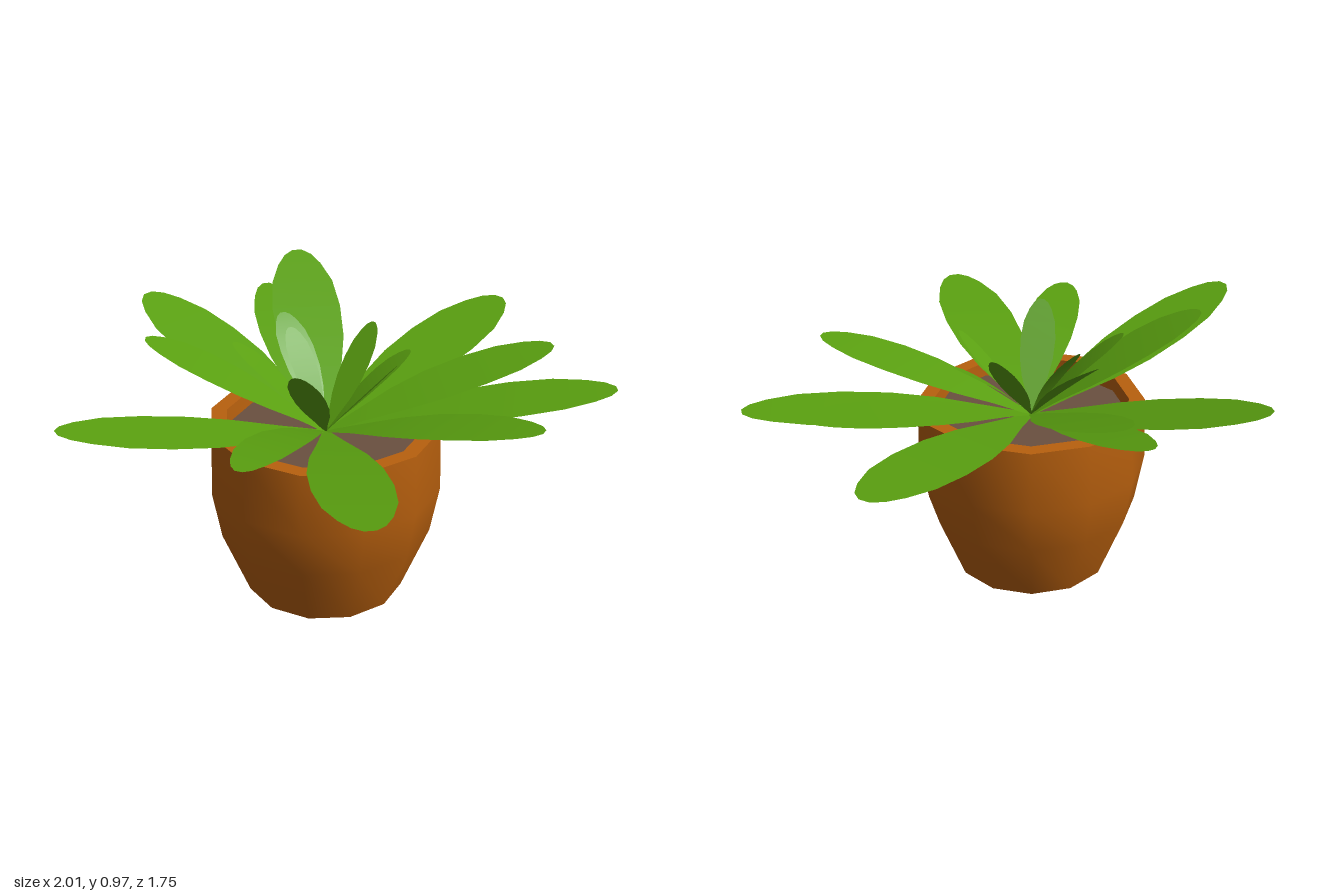
import * as THREE from 'three';
import { toCreasedNormals } from 'three/addons/utils/BufferGeometryUtils.js';

const CX = -0.07, CZ = 0.07; // pot axis
const BASE = new THREE.Vector3(-0.06, 0.61, 0.065); // where the leaves meet

// Outline of a leaf: [fraction of length, fraction of half width]
const OUTLINE = [[0, 0.08], [0.15, 0.36], [0.32, 0.74], [0.48, 0.95], [0.65, 1], [0.8, 0.9], [0.91, 0.64], [0.97, 0.4], [1, 0.14]];

// Flat leaf blade from the crown to its tip; bow lifts the middle
function leafGeometry(tip, width, bow) {
  const along = tip.clone().sub(BASE);
  const side = new THREE.Vector3(along.z, 0, -along.x).normalize();
  const pos = [], index = [];
  OUTLINE.forEach(([t, w], i) => {
    const mid = BASE.clone().addScaledVector(along, t);
    mid.y += bow * 4 * t * (1 - t);
    for (const s of [1, -1]) {
      const p = mid.clone().addScaledVector(side, s * w * width / 2);
      pos.push(p.x, p.y, p.z);
    }
    if (i) {
      const a = 2 * i - 2;
      index.push(a, a + 2, a + 1, a + 1, a + 2, a + 3);
    }
  });
  const g = new THREE.BufferGeometry();
  g.setAttribute('position', new THREE.Float32BufferAttribute(pos, 3));
  g.setIndex(index);
  g.computeVertexNormals();
  return g;
}

export function createModel() {
  const clay = new THREE.MeshStandardMaterial({ color: 0xb8600e });
  clay.name = 'terracotta';
  const earth = new THREE.MeshStandardMaterial({ color: 0x6a5040 });
  earth.name = 'soil';
  const green = new THREE.MeshStandardMaterial({ color: 0x5aa010, side: THREE.DoubleSide });
  green.name = 'leafGreen';

  const model = new THREE.Group();
  model.name = 'pottedPlant';

  // Twelve-sided pot with a thick rim
  const profile = [[0, 0], [0.29, 0], [0.39, 0.25], [0.423, 0.43], [0.417, 0.665], [0.36, 0.665], [0.355, 0.59]]
    .map(([r, y]) => new THREE.Vector2(r, y));
  const pot = new THREE.Mesh(toCreasedNormals(new THREE.LatheGeometry(profile, 12), 0.75), clay);
  pot.name = 'pot';
  pot.position.set(CX, 0, CZ);
  model.add(pot);

  // Soil disc inside the rim
  const soil = new THREE.Mesh(new THREE.CylinderGeometry(0.357, 0.357, 0.02, 12), earth);
  soil.name = 'soil';
  soil.position.set(CX, 0.6, CZ);
  model.add(soil);

  // Leaves: tip x, y, z, width, bow
  const outer = [
    [-0.03, 0.87, -0.88, 0.28, 0],
    [0.37, 0.855, -0.63, 0.2, 0.01],
    [0.5, 0.97, -0.58, 0.26, 0.01],
    [1.0, 0.79, 0.05, 0.29, 0.01],
    [0.71, 0.82, 0.5, 0.24, 0.02],
    [0.67, 0.755, 0.81, 0.27, 0.02],
    [0.12, 0.82, 0.87, 0.22, 0.02],
    [-0.69, 0.785, 0.8, 0.27, 0.015],
    [-0.75, 0.83, 0.31, 0.19, 0.05],
    [-1.0, 0.86, -0.27, 0.27, 0],
    [-0.47, 0.97, -0.41, 0.22, 0.02],
  ];
  const inner = [
    [-0.23, 0.93, -0.22, 0.12, 0.02],
    [0.08, 0.93, -0.27, 0.13, 0.02],
    [0.0, 0.93, -0.16, 0.1, 0.02],
    [0.22, 0.94, 0.05, 0.11, 0],
    [0.22, 0.88, 0.22, 0.1, 0.02],
    [0.02, 0.92, 0.32, 0.09, 0],
    [-0.32, 0.95, 0.17, 0.13, 0],
  ];
  for (const [name, list] of [['outerLeaves', outer], ['innerLeaves', inner]]) {
    const group = new THREE.Group();
    group.name = name;
    list.forEach(([x, y, z, width, bow], i) => {
      const leaf = new THREE.Mesh(leafGeometry(new THREE.Vector3(x, y, z), width, bow), green);
      leaf.name = 'leaf' + (i + 1);
      group.add(leaf);
    });
    model.add(group);
  }
  return model;
}
